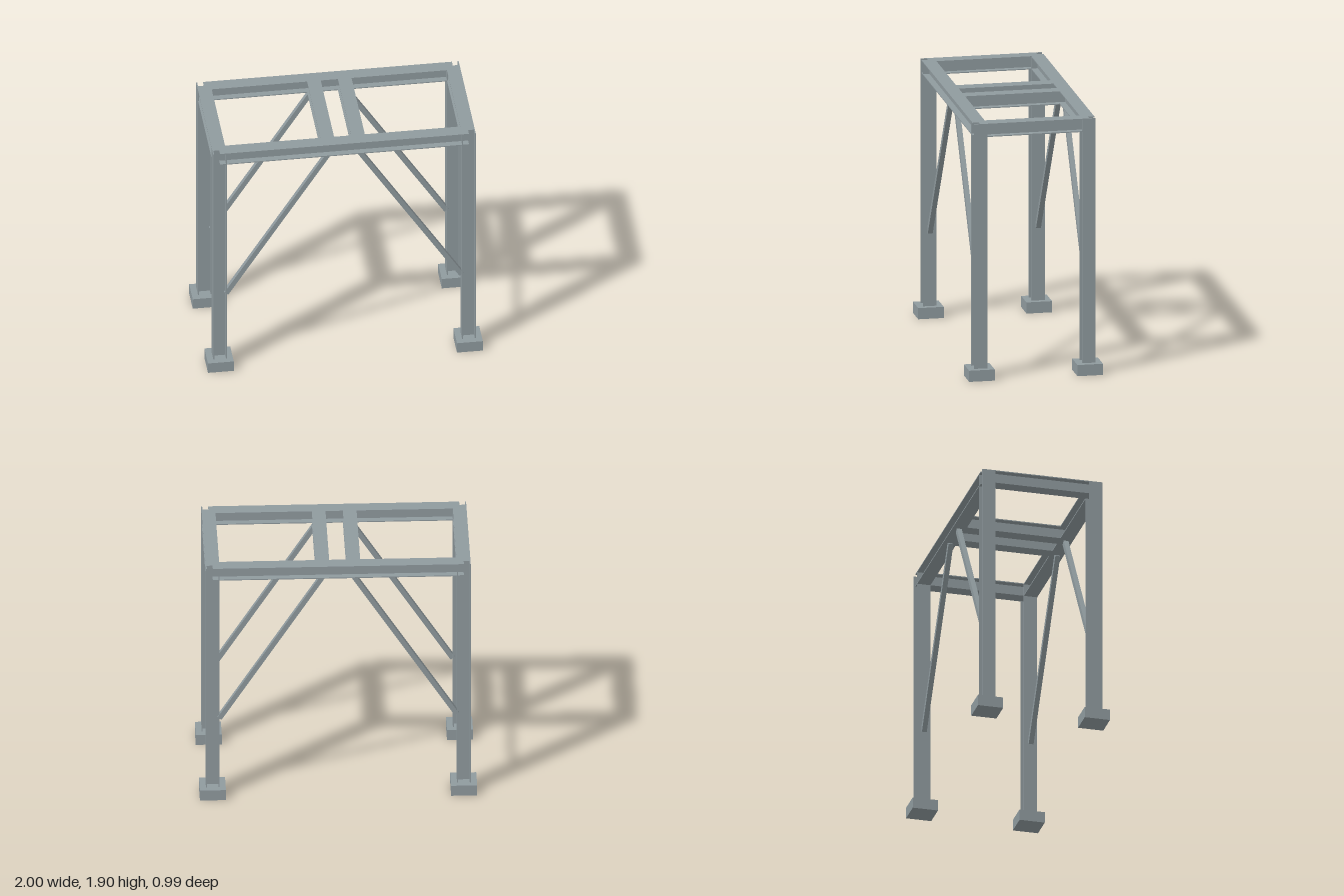
import * as THREE from 'three';

const S = 0.099;          // section depth and width
const FLANGE = 0.007;     // flange thickness
const WEB = 0.006;        // web thickness
const TOP = 1.905;
const PAD = 0.083;        // footing height
const CX = 0.9055, CZ = 0.3985;

// Symmetrical I-section: flanges face up and down, web stands between them.
function iSection() {
  const h = S / 2, w = WEB / 2, f = h - FLANGE;
  const points = [
    [-h, -h], [h, -h], [h, -f], [w, -f], [w, f], [h, f],
    [h, h], [-h, h], [-h, f], [-w, f], [-w, -f], [-h, -f],
  ];
  return new THREE.Shape(points.map(([x, y]) => new THREE.Vector2(x, y)));
}

// Rolled steel member from a to b, flanges facing along the given normal.
function member(name, material, a, b, normal) {
  const start = new THREE.Vector3(...a);
  const dir = new THREE.Vector3(...b).sub(start);
  const length = dir.length();
  dir.normalize();
  const up = new THREE.Vector3(...normal);
  const side = new THREE.Vector3().crossVectors(up, dir);
  const geometry = new THREE.ExtrudeGeometry(iSection(), { depth: length, bevelEnabled: false });
  geometry.applyMatrix4(new THREE.Matrix4().makeBasis(side, up, dir).setPosition(start));
  const mesh = new THREE.Mesh(geometry, material);
  mesh.name = name;
  return mesh;
}

export function createModel() {
  const model = new THREE.Group();
  model.name = 'steelFrame';
  const steel = new THREE.MeshStandardMaterial({ color: 0x8f9a9e });
  steel.name = 'grey steel';
  const beamY = TOP - S / 2;

  for (const sx of [-1, 1]) {
    for (const sz of [-1, 1]) {
      // Footing and column at each corner
      const footing = new THREE.Mesh(new THREE.BoxGeometry(0.188, PAD, 0.188), steel);
      footing.name = 'footing';
      footing.position.set(sx * 0.906, PAD / 2, sz * CZ);
      model.add(footing);
      model.add(member('column', steel, [sx * CX, PAD, sz * CZ], [sx * CX, TOP, sz * CZ], [1, 0, 0]));

      // Diagonal brace from column to long beam
      const low = new THREE.Vector2(sx * 0.856, 0.636);
      const high = new THREE.Vector2(sx * 0.114, 1.797);
      const span = high.clone().sub(low);
      const brace = new THREE.Mesh(new THREE.BoxGeometry(span.length(), 0.036, 0.036), steel);
      brace.name = 'diagonalBrace';
      brace.position.set((low.x + high.x) / 2, (low.y + high.y) / 2, sz * CZ);
      brace.rotation.z = span.angle();
      model.add(brace);
    }
    // End beam and inner cross beam
    for (const [name, x] of [['endBeam', CX], ['crossBeam', 0.112]]) {
      model.add(member(name, steel, [sx * x, beamY, -CZ], [sx * x, beamY, CZ], [0, 1, 0]));
    }
    // Long beam, front and back
    model.add(member('longBeam', steel, [-CX, beamY, sx * CZ], [CX, beamY, sx * CZ], [0, 1, 0]));
  }
  return model;
}
